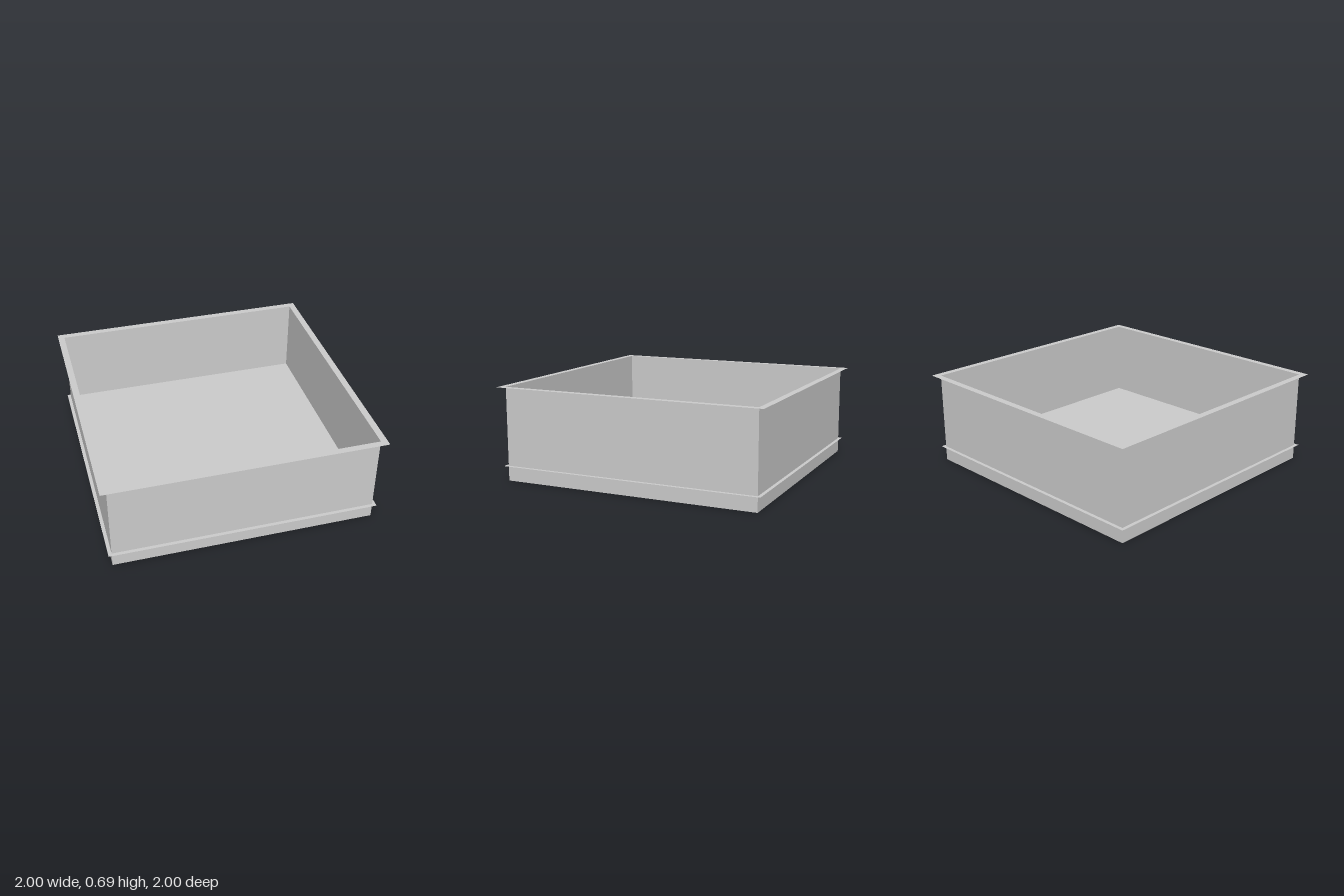
import * as THREE from 'three';

const HALF = 0.952;    // half width of the tray body
const HEIGHT = 0.685;  // top of the walls
const FLOOR = 0.11;    // height of the inner floor and lower flange

const material = new THREE.MeshStandardMaterial({
  color: 0xcccccc, flatShading: true, side: THREE.DoubleSide,
});

function square(half, Type = THREE.Shape) {
  return new Type([[-1, -1], [1, -1], [1, 1], [-1, 1]]
    .map(([x, y]) => new THREE.Vector2(x * half, y * half)));
}

// Thin horizontal square sheet, with an optional square opening
function sheet(name, y, outer, inner = 0) {
  const shape = square(outer);
  if (inner) shape.holes.push(square(inner, THREE.Path));
  const mesh = new THREE.Mesh(new THREE.ShapeGeometry(shape).rotateX(-Math.PI / 2), material);
  mesh.name = name;
  mesh.position.y = y;
  return mesh;
}

export function createModel() {
  const tray = new THREE.Group();
  tray.name = 'tray';

  // Four thin upright walls
  const wallGeometry = new THREE.PlaneGeometry(2 * HALF, HEIGHT).translate(0, HEIGHT / 2, HALF);
  ['frontWall', 'leftWall', 'backWall', 'rightWall'].forEach((name, i) => {
    const wall = new THREE.Mesh(wallGeometry, material);
    wall.name = name;
    wall.rotation.y = i * Math.PI / 2;
    tray.add(wall);
  });

  // Closed underside, raised floor and the two outward flanges
  tray.add(
    sheet('underside', 0, HALF),
    sheet('floor', FLOOR, HALF),
    sheet('lowerFlange', FLOOR, 0.977, HALF),
    sheet('topFlange', HEIGHT, 1, HALF),
  );
  return tray;
}
